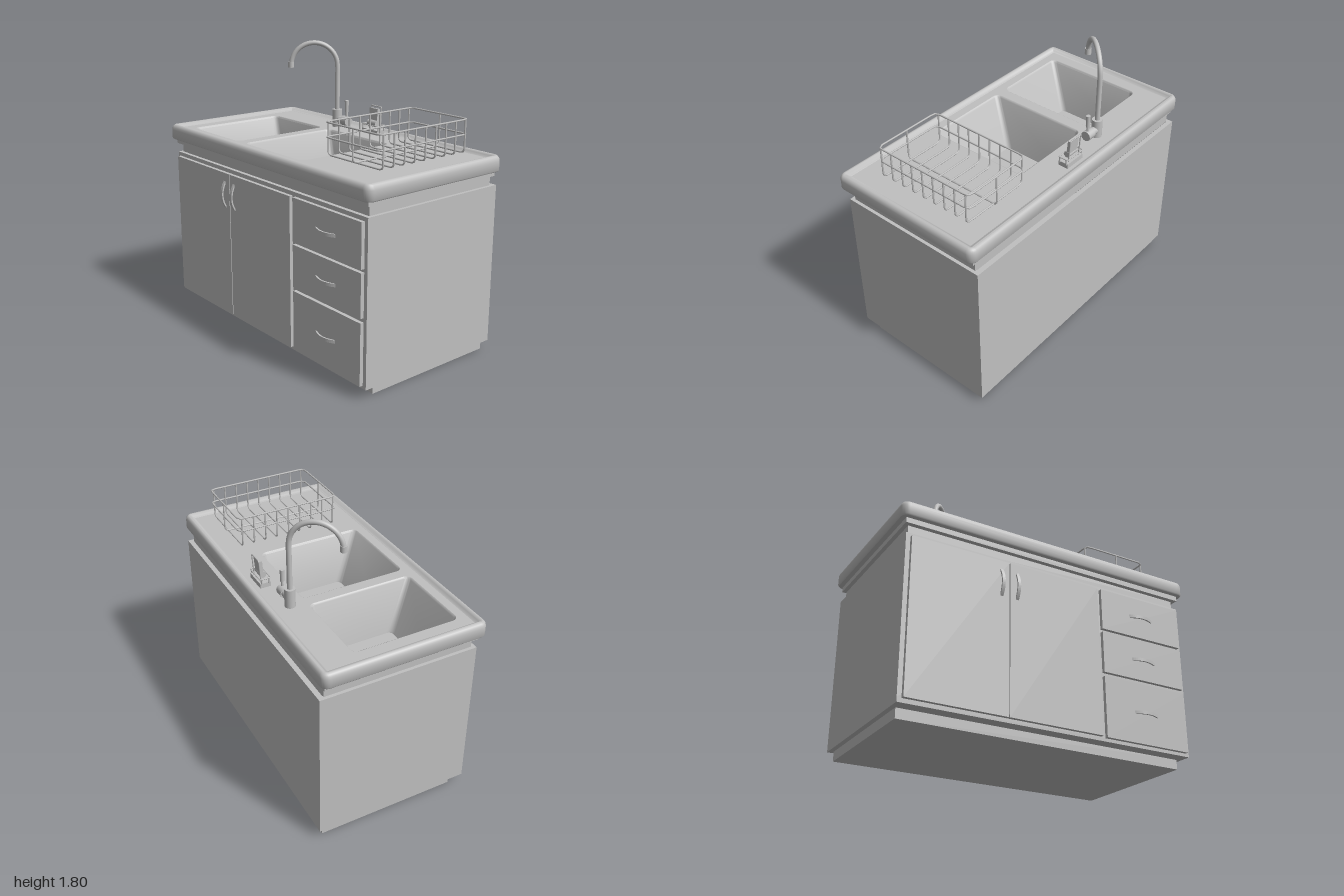
import * as THREE from 'three';
import { toCreasedNormals } from 'three/addons/utils/BufferGeometryUtils.js';

const steel = new THREE.MeshStandardMaterial({ color: 0xc0c0c0 });
steel.name = 'grey';
const V = (x, y, z) => new THREE.Vector3(x, y, z);

function add(parent, name, geometry, x = 0, y = 0, z = 0) {
  const mesh = new THREE.Mesh(geometry, steel);
  mesh.name = name;
  mesh.position.set(x, y, z);
  parent.add(mesh);
  return mesh;
}

// Box given by its limits
function box(parent, name, x0, x1, y0, y1, z0, z1) {
  return add(parent, name, new THREE.BoxGeometry(x1 - x0, y1 - y0, z1 - z0),
    (x0 + x1) / 2, (y0 + y1) / 2, (z0 + z1) / 2);
}

// Four upright walls, open in the middle
function frame(parent, name, x0, x1, y0, y1, z0, z1, t = 0.03) {
  const g = new THREE.Group();
  g.name = name;
  box(g, 'frontWall', x0, x1, y0, y1, z1 - t, z1);
  box(g, 'backWall', x0, x1, y0, y1, z0, z0 + t);
  box(g, 'rightWall', x0, x0 + t, y0, y1, z0 + t, z1 - t);
  box(g, 'leftWall', x1 - t, x1, y0, y1, z0 + t, z1 - t);
  parent.add(g);
}

// Rounded rectangle as [x, z] points
function loop([x0, x1, z0, z1, r]) {
  const pts = [], n = 6;
  const corners = [[x1 - r, z1 - r], [x0 + r, z1 - r], [x0 + r, z0 + r], [x1 - r, z0 + r]];
  corners.forEach(([cx, cz], q) => {
    for (let i = 0; i <= n; i++) {
      const a = (q + i / n) * Math.PI / 2;
      pts.push([cx + r * Math.cos(a), cz + r * Math.sin(a)]);
    }
  });
  return pts;
}

// Skin through rounded rectangles, each [x0, x1, z0, z1, r, y]
function loft(sections) {
  const pos = [], idx = [];
  const n = loop(sections[0]).length;
  sections.forEach((s, i) => {
    loop(s).forEach(([x, z], j) => {
      pos.push(x, s[5], z);
      if (i === sections.length - 1) return;
      const k = (j + 1) % n;
      const a = i * n + j, b = a + n, c = (i + 1) * n + k, d = i * n + k;
      idx.push(a, b, c, a, c, d);
    });
  });
  const g = new THREE.BufferGeometry();
  g.setAttribute('position', new THREE.Float32BufferAttribute(pos, 3));
  g.setIndex(idx);
  return toCreasedNormals(g, 0.7);
}

const inset = ([x0, x1, z0, z1, r], d, y) => [x0 + d, x1 - d, z0 + d, z1 - d, Math.max(r - d, 0.002), y];
const toShape = (Kind, rect) => new Kind(loop(rect).map(([x, z]) => new THREE.Vector2(x, -z)));

// Tube through straight runs with rounded corners
function wire(points, r, closed = false, bend = 0.03) {
  const path = new THREE.CurvePath();
  const n = points.length;
  const cut = (p, q) => p.clone().add(q.clone().sub(p).setLength(bend));
  let start = closed ? cut(points[0], points[1]) : points[0];
  const first = start;
  for (let i = 1; i < (closed ? n + 1 : n - 1); i++) {
    const p = points[i % n], before = cut(p, points[i - 1]), after = cut(p, points[(i + 1) % n]);
    path.add(new THREE.LineCurve3(start, before));
    path.add(new THREE.QuadraticBezierCurve3(before, p, after));
    start = after;
  }
  if (!closed) path.add(new THREE.LineCurve3(start, points[n - 1]));
  else start.copy(first);
  return new THREE.TubeGeometry(path, 64, r, 6, closed);
}

function rod(parent, name, r, a, b, rTop = r) {
  const dir = b.clone().sub(a);
  const mesh = add(parent, name, new THREE.CylinderGeometry(rTop, r, dir.length(), 20));
  mesh.position.copy(a).add(b).multiplyScalar(0.5);
  mesh.quaternion.setFromUnitVectors(V(0, 1, 0), dir.normalize());
  return mesh;
}

// Bowed strip handle, centred on the origin and bulging to +z
function handleGeometry() {
  const s = new THREE.Shape();
  s.moveTo(-0.087, 0);
  s.quadraticCurveTo(0, 0.056, 0.087, 0);
  s.lineTo(0.077, -0.004);
  s.quadraticCurveTo(0, 0.04, -0.077, -0.004);
  const g = new THREE.ExtrudeGeometry(s, { depth: 0.02, bevelEnabled: false, curveSegments: 16 });
  g.rotateX(Math.PI / 2).translate(0, 0.01, 0);
  return g;
}

function buildCabinet(root) {
  const g = new THREE.Group();
  g.name = 'cabinet';
  root.add(g);
  box(g, 'plinth', -0.93, 0.93, 0, 0.06, -0.5, 0.4);
  box(g, 'cabinetFloor', -0.96, 0.96, 0.06, 0.09, -0.53, 0.48);
  frame(g, 'cabinetBody', -0.96, 0.96, 0.09, 1.055, -0.53, 0.48);
  frame(g, 'neck', -0.94, 0.94, 1.05, 1.115, -0.495, 0.455, 0.05);
  frame(g, 'worktopSupport', -0.965, 0.965, 1.115, 1.15, -0.505, 0.485, 0.07);
  const handle = handleGeometry();
  // Doors
  [[-0.933, -0.313, -0.363], [-0.307, 0.313, -0.26]].forEach(([x0, x1, hx]) => {
    box(g, 'door', x0, x1, 0.085, 1.03, 0.48, 0.503);
    add(g, 'doorHandle', handle, hx, 0.89, 0.503).rotation.z = Math.PI / 2;
  });
  // Drawers
  [[0.765, 1.03, 0.898], [0.483, 0.745, 0.61], [0.08, 0.457, 0.27]].forEach(([y0, y1, hy]) => {
    box(g, 'drawer', 0.34, 0.935, y0, y1, 0.48, 0.503);
    add(g, 'drawerHandle', handle, 0.637, hy, 0.503);
  });
}

const DECK = 1.222;

function buildSink(root) {
  const g = new THREE.Group();
  g.name = 'sink';
  root.add(g);
  const outer = [-1, 1, -0.53, 0.518, 0.045];
  const deck = inset(outer, 0.058, DECK);
  // Rolled rim, from the underside round to the deck
  add(g, 'rim', loft([
    inset(outer, 0.08, 1.147), inset(outer, 0.006, 1.147), inset(outer, 0, 1.155),
    inset(outer, 0, 1.21), inset(outer, 0.003, 1.225), inset(outer, 0.01, 1.236),
    inset(outer, 0.02, 1.243), inset(outer, 0.03, 1.243), inset(outer, 0.042, 1.234),
    inset(outer, 0.05, 1.226), deck]));
  const bowls = [[-0.87, -0.345, -0.28, 0.405, 0.04], [-0.275, 0.31, -0.28, 0.405, 0.04]];
  const shape = toShape(THREE.Shape, deck);
  bowls.forEach((b) => shape.holes.push(toShape(THREE.Path, b)));
  add(g, 'deck', new THREE.ShapeGeometry(shape).rotateX(-Math.PI / 2), 0, DECK);
  // Bowls with sloping sides and a long sloping front
  bowls.forEach((b) => {
    const [x0, x1, z0, z1] = b;
    const floor = [x0 + 0.075, x1 - 0.075, z0 + 0.015, z1 - 0.155, 0.03, 0.9];
    const cx = (x0 + x1) / 2;
    add(g, 'bowl', loft([
      [...b, DECK], inset(b, 0.005, DECK - 0.003), inset(b, 0.01, DECK - 0.012),
      [x0 + 0.073, x1 - 0.073, z0 + 0.014, z1 - 0.15, 0.035, 0.91], floor,
      [cx, cx, -0.02, -0.02, 0, 0.9]]));
  });
  [-0.603, 0.02].forEach((x) => {
    add(g, 'drain', new THREE.CylinderGeometry(0.042, 0.042, 0.008, 32), x, 0.903, -0.14);
  });
}

function buildFaucet(root) {
  const g = new THREE.Group();
  g.name = 'faucet';
  root.add(g);
  const x = -0.305, z = -0.375, ex = -0.505, ez = -0.14;
  rod(g, 'faucetBase', 0.033, V(x, DECK, z), V(x, 1.34, z));
  // Gooseneck
  const pts = [V(x, 1.33, z), V(x, 1.45, z), V(x, 1.55, z)];
  for (let i = 0; i <= 12; i++) {
    const a = i / 12 * Math.PI, t = (1 - Math.cos(a)) / 2;
    pts.push(V(x + (ex - x) * t, 1.632 + 0.152 * Math.sin(a), z + (ez - z) * t));
  }
  add(g, 'spout', new THREE.TubeGeometry(new THREE.CatmullRomCurve3(pts), 72, 0.016, 14));
  rod(g, 'spoutTip', 0.02, V(ex, 1.62, ez), V(ex, 1.658, ez));
  rod(g, 'valve', 0.025, V(x, 1.273, z), V(-0.245, 1.273, z));
  rod(g, 'valveCap', 0.032, V(-0.247, 1.273, z), V(-0.19, 1.273, z));
  rod(g, 'leverStem', 0.008, V(-0.208, 1.29, z), V(-0.208, 1.35, z));
  rod(g, 'lever', 0.012, V(-0.208, 1.335, z), V(-0.208, 1.412, z), 0.014);
}

function buildSpongeHolder(root) {
  const g = new THREE.Group();
  g.name = 'spongeHolder';
  root.add(g);
  box(g, 'tray', -0.062, 0.084, DECK, 1.252, -0.45, -0.382);
  add(g, 'trayRail', wire([V(-0.062, 1.28, -0.45), V(0.084, 1.28, -0.45),
    V(0.084, 1.28, -0.382), V(-0.062, 1.28, -0.382)], 0.004, true, 0.012));
  [-0.062, 0.084].forEach((x) => [-0.44, -0.392].forEach((z) =>
    rod(g, 'railPost', 0.004, V(x, 1.245, z), V(x, 1.28, z))));
  const roll = rod(g, 'roll', 0.02, V(-0.03, 1.29, -0.415), V(0.05, 1.29, -0.415));
  roll.scale.x = 1;
  box(g, 'sponge', -0.03, 0.048, 1.285, 1.385, -0.435, -0.415).rotation.x = -0.08;
  add(g, 'backWire', wire([V(-0.04, 1.25, -0.435), V(-0.04, 1.397, -0.445),
    V(0.057, 1.397, -0.445), V(0.057, 1.25, -0.435)], 0.004, false, 0.012));
}

function buildRack(root) {
  const g = new THREE.Group();
  g.name = 'dishRack';
  root.add(g);
  const x0 = 0.392, x1 = 0.852, z0 = -0.382, z1 = 0.302, low = 1.255, high = 1.45, r = 0.0055;
  // Rings
  [high, 1.362].forEach((y) => add(g, 'rackRing',
    wire([V(x0, y, z0), V(x1, y, z0), V(x1, y, z1), V(x0, y, z1)], r, true)));
  // Cross wires
  for (let i = 0; i < 9; i++) {
    const z = z0 + 0.022 + i * (z1 - z0 - 0.044) / 8;
    add(g, 'crossWire', wire([V(x0, high, z), V(x0, low, z), V(x1, low, z), V(x1, high, z)], r));
  }
  // Lengthwise wire
  add(g, 'lengthWire', wire([V(0.63, high, z0), V(0.63, low, z0), V(0.63, low, z1), V(0.63, high, z1)], r));
}

export function createModel() {
  const root = new THREE.Group();
  root.name = 'kitchenSinkUnit';
  [buildCabinet, buildSink, buildFaucet, buildSpongeHolder, buildRack].forEach((build) => build(root));
  return root;
}
